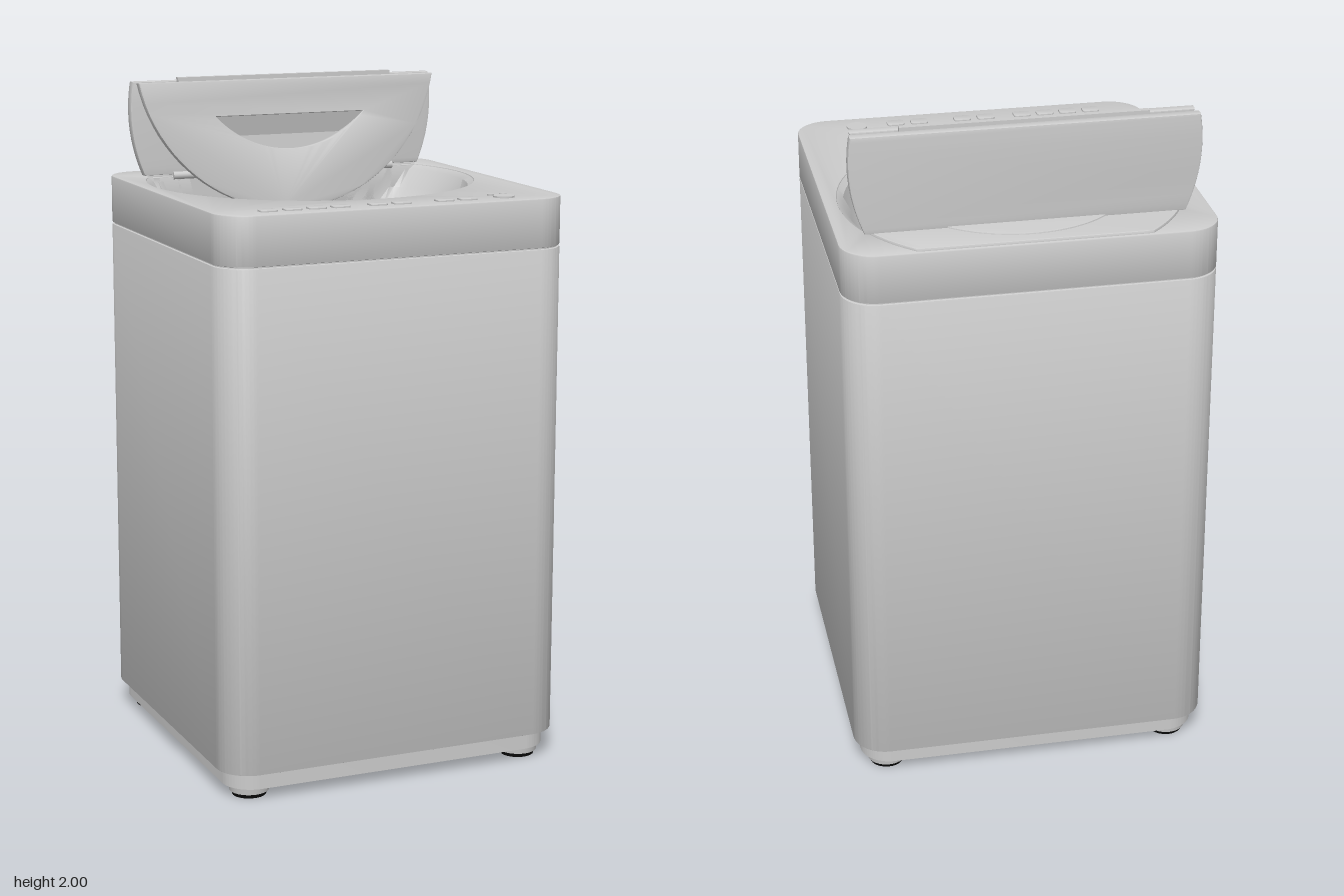
import * as THREE from 'three';
import { toCreasedNormals } from 'three/addons/utils/BufferGeometryUtils.js';

const grey = new THREE.MeshStandardMaterial({ color: 0xcccccc });
const greyThin = new THREE.MeshStandardMaterial({ color: 0xcccccc, side: THREE.DoubleSide });
const pale = new THREE.MeshStandardMaterial({ color: 0xe2dee9, side: THREE.DoubleSide });
const black = new THREE.MeshStandardMaterial({ color: 0x080808 });

const BACK = -0.36; // straight rear edge of the opening

function add(parent, name, geo, mat = grey, x = 0, y = 0, z = 0) {
  const mesh = new THREE.Mesh(geo, mat);
  mesh.name = name;
  mesh.position.set(x, y, z);
  parent.add(mesh);
  return mesh;
}

function roundedRect(w, d, r) {
  const s = new THREE.Shape(), a = w / 2, b = d / 2;
  s.absarc(a - r, b - r, r, 0, Math.PI / 2);
  s.absarc(r - a, b - r, r, Math.PI / 2, Math.PI);
  s.absarc(r - a, r - b, r, Math.PI, Math.PI * 1.5);
  s.absarc(a - r, r - b, r, Math.PI * 1.5, Math.PI * 2);
  s.closePath();
  return s;
}

// Extrusion along z with an optional inset bevel
function extrude(shape, depth, bevel = 0) {
  const geo = new THREE.ExtrudeGeometry(shape, {
    depth: depth - 2 * bevel, curveSegments: 20, bevelEnabled: bevel > 0,
    bevelSize: bevel, bevelThickness: bevel, bevelOffset: -bevel, bevelSegments: 2,
  });
  geo.translate(0, 0, bevel);
  return toCreasedNormals(geo, 0.5);
}

// Plan shape (shape y = -z) raised from y0 to y1
function slab(shape, y0, y1, bevel = 0) {
  return extrude(shape, y1 - y0, bevel).rotateX(-Math.PI / 2).translate(0, y0, 0);
}

// Circle in plan, flattened at the rear edge
function ring(r, cz, n = 96) {
  return Array.from({ length: n }, (_, i) => {
    const a = (i / n) * Math.PI * 2;
    return new THREE.Vector2(r * Math.cos(a), Math.max(BACK, cz + r * Math.sin(a)));
  });
}

// Surface through rows of [radius, centre z, y]
function loft(rows, n = 96) {
  const pos = [], idx = [];
  rows.forEach(([r, cz, y], j) => {
    ring(r, cz, n).forEach(p => pos.push(p.x, y, p.y));
    if (j) for (let i = 0; i < n; i++) {
      const a = (j - 1) * n + i, b = (j - 1) * n + (i + 1) % n;
      idx.push(a, b, a + n, b, b + n, a + n);
    }
  });
  const geo = new THREE.BufferGeometry();
  geo.setAttribute('position', new THREE.Float32BufferAttribute(pos, 3));
  geo.setIndex(idx);
  geo.computeVertexNormals();
  return toCreasedNormals(geo, 0.6);
}

// Lower part of a circle (centre height c) cut by a level chord
function segment(r, c, chord) {
  const a = Math.asin((c - chord) / r);
  const s = new THREE.Shape();
  s.absarc(0, c, r, Math.PI + a, Math.PI * 2 - a);
  s.closePath();
  return s;
}

function lathe(points) {
  return toCreasedNormals(new THREE.LatheGeometry(points.map(p => new THREE.Vector2(...p)), 72), 0.6);
}

function buildLid() {
  const lid = new THREE.Group();
  lid.name = 'foldedLid';

  // Rear leaf, standing upright on its hinge
  const rear = new THREE.Shape();
  const r = 0.497, a0 = Math.asin(-0.2 / r), a1 = Math.asin(0.085 / r);
  rear.absarc(0, 1.905, r, a0, a1);
  rear.absarc(0, 1.905, r, Math.PI - a1, Math.PI - a0);
  rear.closePath();
  add(lid, 'rearLidLeaf', extrude(rear, 0.032, 0.005), grey, 0, 0, -0.392);
  add(lid, 'foldHinge', new THREE.BoxGeometry(0.7, 0.025, 0.018), grey, 0, 1.9875, -0.354);
  for (const x of [-0.3, -0.1, 0.1, 0.3])
    add(lid, 'hingeBarrel', new THREE.CylinderGeometry(0.012, 0.012, 0.13, 16).rotateZ(Math.PI / 2), grey, x, 1.702, -0.362);

  // Front leaf, hanging from the fold with a finger recess
  const front = new THREE.Group();
  front.name = 'frontLidLeaf';
  front.position.set(0, 1.99, -0.318);
  front.rotation.x = -0.1;
  lid.add(front);
  const leaf = segment(0.494, 0.094, 0);
  leaf.holes.push(segment(0.33, 0.115, -0.11));
  add(front, 'lidPanel', extrude(leaf, 0.026, 0.004), grey, 0, 0, -0.026);
  add(front, 'recessFloor', extrude(segment(0.34, 0.115, -0.1), 0.005), grey, 0, 0, -0.027);
  const ramp = new THREE.Shape([[0, -0.11], [-0.022, -0.11], [-0.022, -0.17]].map(p => new THREE.Vector2(...p)));
  add(front, 'recessRamp', extrude(ramp, 0.48).rotateY(-Math.PI / 2), grey, 0.24);
  return lid;
}

function buildDrum() {
  const drum = new THREE.Group();
  drum.name = 'drum';
  add(drum, 'balanceRing', lathe([[0.335, 1.49], [0.33, 1.5], [0.322, 1.5], [0.318, 1.485], [0.31, 1.485],
    [0.3, 1.475], [0.298, 1.41], [0.285, 1.4]]), greyThin);
  add(drum, 'drumWall', lathe([[0.287, 1.4], [0.29, 1.38], [0.29, 0.62], [0.28, 0.58], [0, 0.58]]), pale);

  // Dished agitator plate with a cross of four ribs
  add(drum, 'agitatorPlate', lathe([[0.285, 0.6], [0.282, 0.625], [0.272, 0.625], [0.262, 0.61],
    [0.18, 0.6], [0, 0.6]]), pale);
  const cross = new THREE.Shape();
  const w = 0.025, k = 0.085, L = 0.268;
  for (let i = 0; i < 4; i++) {
    const c = Math.round(Math.cos(i * Math.PI / 2)), s = Math.round(Math.sin(i * Math.PI / 2));
    const p = (x, y) => [x * c - y * s, x * s + y * c];
    if (i === 0) cross.moveTo(...p(L, -w));
    else cross.lineTo(...p(L, -w));
    cross.lineTo(...p(L, w));
    cross.lineTo(...p(k, w));
    cross.quadraticCurveTo(...p(w + 0.01, w + 0.01), ...p(w, k));
  }
  add(drum, 'agitatorCross', slab(cross, 0.59, 0.655, 0.007), pale);
  const rib = new THREE.Shape([[0.08, 0], [0.27, 0], [0.24, 0.045], [0.11, 0.045]].map(p => new THREE.Vector2(...p)));
  for (let i = 0; i < 4; i++)
    add(drum, 'agitatorRib', extrude(rib, 0.042, 0.005).translate(0, 0, -0.021), pale, 0, 0.65).rotation.y = i * Math.PI / 2;
  return drum;
}

export function createModel() {
  const washer = new THREE.Group();
  washer.name = 'washingMachine';

  // Cabinet, hollow for the drum
  const body = roundedRect(1.07, 1.055, 0.1);
  body.holes.push(new THREE.Path().absarc(0, 0, 0.45, 0, Math.PI * 2, true));
  add(washer, 'cabinet', slab(body, 0.085, 1.553, 0.004));
  const seam = roundedRect(1.056, 1.041, 0.095);
  seam.holes.push(new THREE.Path().absarc(0, 0, 0.45, 0, Math.PI * 2, true));
  add(washer, 'seam', slab(seam, 1.545, 1.565));
  add(washer, 'base', slab(roundedRect(1.025, 1.01, 0.09), 0.035, 0.09));

  // Top cover with the lid opening
  const cover = roundedRect(1.07, 1.055, 0.1);
  cover.holes.push(new THREE.Path(ring(0.495, -0.15).map(p => new THREE.Vector2(p.x, -p.y))));
  add(washer, 'topCover', slab(cover, 1.557, 1.7, 0.004));

  // Raised plate behind the lid
  const plate = (r, margin) => new THREE.Shape(Array.from({ length: 121 }, (_, i) => {
    const a = (i / 120) * Math.PI;
    return new THREE.Vector2(r * Math.cos(a), Math.min(margin, 0.15 + r * Math.sin(a)));
  }).filter(p => p.y >= -BACK));
  add(washer, 'rearPlate', slab(plate(0.495, 0.52), 1.69, 1.708, 0.004));
  add(washer, 'rearPlateStep', slab(plate(0.33, 0.52), 1.7, 1.712, 0.002));

  // Sloping bowl and the funnel leading into the drum
  add(washer, 'bowl', loft([[0.495, -0.15, 1.697], [0.477, -0.15, 1.685], [0.45, -0.125, 1.63],
    [0.41, -0.085, 1.575], [0.36, -0.035, 1.535]]), greyThin);
  add(washer, 'funnel', loft([[0.36, -0.035, 1.535], [0.335, 0, 1.49]]), pale);
  washer.add(buildDrum(), buildLid());

  // Controls along the front edge
  for (const x of [-0.379, -0.306, -0.234, -0.162, -0.048, 0.025, 0.159, 0.232])
    add(washer, 'button', slab(roundedRect(0.052, 0.04, 0.009), 0, 0.009, 0.002), grey, x, 1.696, 0.46);
  for (const [x, z, r] of [[0.352, 0.452, 0.031], [0.33, 0.41, 0.01], [0.371, 0.41, 0.01]])
    add(washer, 'roundButton', new THREE.CylinderGeometry(r, r, 0.009, 32), grey, x, 1.7005, z);

  // Feet
  for (const x of [-0.435, 0.435]) for (const z of [-0.43, 0.43]) {
    add(washer, 'foot', new THREE.CylinderGeometry(0.062, 0.058, 0.025, 32), grey, x, 0.0255, z);
    add(washer, 'footPad', new THREE.CylinderGeometry(0.052, 0.05, 0.014, 32), black, x, 0.007, z);
  }
  return washer;
}
